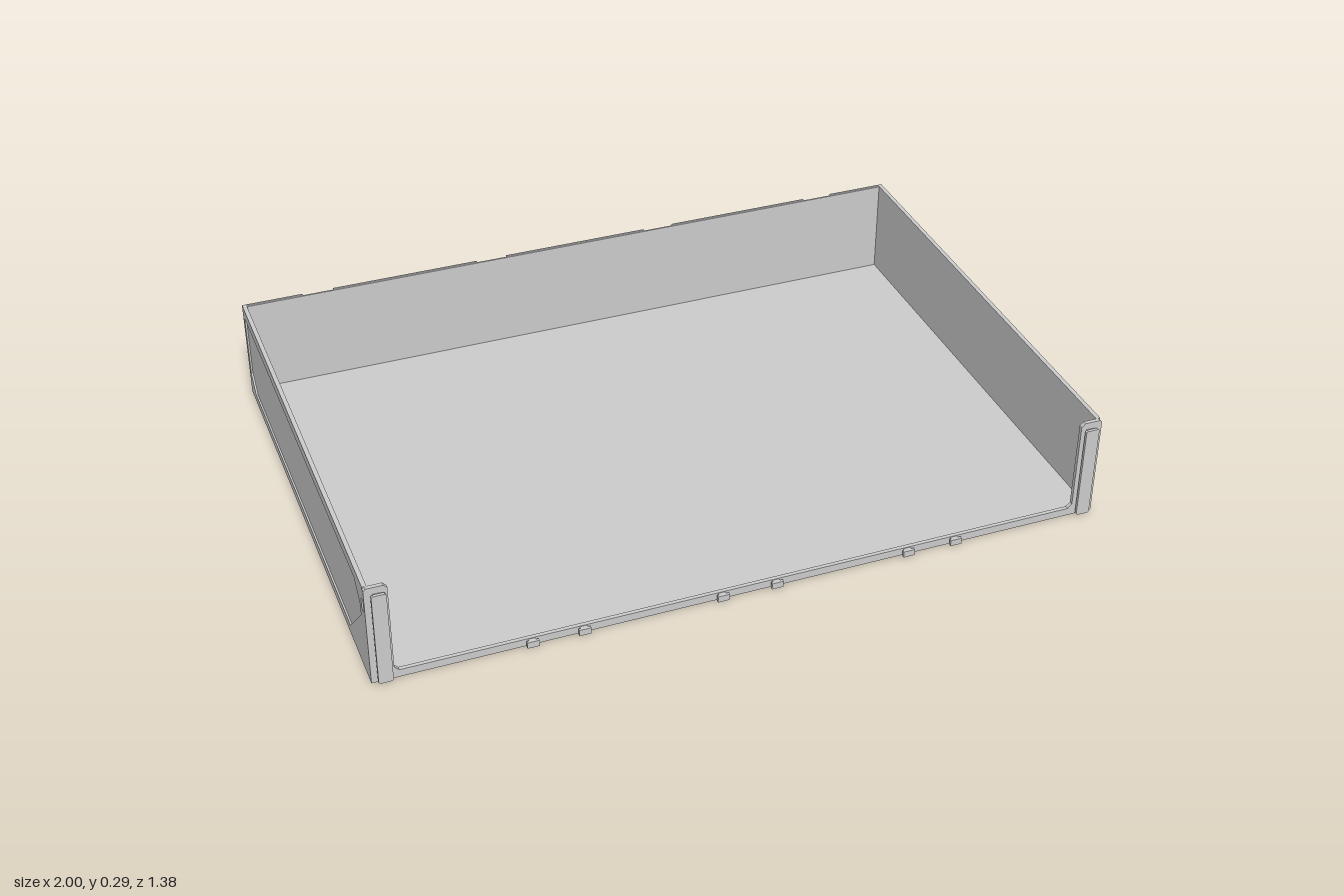
import * as THREE from 'three';

const H = 0.295;      // wall height
const WALL = 0.012;   // side wall thickness
const SKIN = 0.005;   // relief depth of the side panels

const toPoints = (pts) => pts.map(([x, y]) => new THREE.Vector2(x, y));

function makeShape(outline, holes = []) {
  const shape = new THREE.Shape(toPoints(outline));
  for (const h of holes) shape.holes.push(new THREE.Path(toPoints(h)));
  return shape;
}

// Rectangle with cut corners: b at the bottom, t at the top
function chamferRect(x0, x1, y0, y1, b, t = b) {
  return [[x0 + b, y0], [x1 - b, y0], [x1, y0 + b], [x1, y1 - t],
    [x1 - t, y1], [x0 + t, y1], [x0, y1 - t], [x0, y0 + b]];
}

const rect = (x0, x1, y0, y1) => [[x0, y0], [x1, y0], [x1, y1], [x0, y1]];

export function createModel() {
  const model = new THREE.Group();
  const material = new THREE.MeshStandardMaterial({ color: 0xcccccc, flatShading: true });

  function add(name, geometry, x = 0, y = 0, z = 0) {
    const mesh = new THREE.Mesh(geometry, material);
    mesh.name = name;
    mesh.position.set(x, y, z);
    model.add(mesh);
  }
  function box(name, x0, x1, y0, y1, z0, z1) {
    add(name, new THREE.BoxGeometry(x1 - x0, y1 - y0, z1 - z0),
      (x0 + x1) / 2, (y0 + y1) / 2, (z0 + z1) / 2);
  }
  const extrude = (shape, depth) => new THREE.ExtrudeGeometry(shape, { depth, bevelEnabled: false });

  // Floor
  box('floor', -1 + WALL, 1 - WALL, 0, 0.014, -0.675, 0.663);

  // Side walls: an inner sheet plus an outer skin with the panel cut out; outlines are in (z, y)
  const wallOutline = rect(-0.68, 0.663, 0, H);
  const slot = rect(0.643, 0.66, 0.215, 0.25);
  const panel = [[0.625, 0.215], [0.58, 0.262], [-0.665, 0.262], [-0.665, 0.075],
    [-0.62, 0.028], [0.475, 0.028], [0.625, 0.18]];
  const sheet = extrude(makeShape(wallOutline, [slot]), WALL - SKIN).rotateY(-Math.PI / 2);
  const skin = extrude(makeShape(wallOutline, [slot, panel]), SKIN).rotateY(-Math.PI / 2);
  add('leftWallSheet', sheet, 1 - SKIN);
  add('leftWallSkin', skin, 1);
  add('rightWallSheet', sheet, -1 + WALL);
  add('rightWallSkin', skin, -1 + SKIN);

  // Back wall: thin plate and a bevelled rib layer with pockets and open notches
  box('backPlate', -1 + WALL, 1 - WALL, 0, H - 0.002, -0.68, -0.675);
  const notchCentres = [-0.78, -0.26, 0.26, 0.78];
  const outline = [[-1, 0], [1, 0], [1, H]];
  for (const c of [...notchCentres].reverse()) {
    outline.push([c + 0.045, H], [c + 0.045, 0.165], [c - 0.045, 0.165], [c - 0.045, H]);
  }
  outline.push([-1, H]);
  const pockets = [];
  for (const c of [-0.52, 0, 0.52]) pockets.push(chamferRect(c - 0.185, c + 0.185, 0.035, 0.26, 0.008, 0.035));
  for (const c of notchCentres) pockets.push(chamferRect(c - 0.04, c + 0.04, 0.035, 0.13, 0.005, 0.025));
  for (const c of [-0.917, 0.917]) pockets.push(chamferRect(c - 0.052, c + 0.052, 0.035, 0.26, 0.03));
  const ribs = new THREE.ExtrudeGeometry(makeShape(outline, pockets), {
    depth: 0.005, bevelThickness: 0.005, bevelSize: 0.007, bevelSegments: 1,
    bevelOffset: 0 - 0.007,
  });
  add('backRibs', ribs, 0, 0, -0.685);

  // Front rim: a U-shaped flange with small cut corners
  const rim = [[-1, 0], [1, 0], [1, H - 0.006], [0.994, H], [0.95, H], [0.94, H - 0.01],
    [0.94, 0.034], [0.928, 0.022], [-0.928, 0.022], [-0.94, 0.034],
    [-0.94, H - 0.01], [-0.95, H], [-0.994, H], [-1, H - 0.006]];
  add('frontRim', extrude(makeShape(rim), 0.011), 0, 0, 0.663);

  // Upright rails and bottom tabs on the rim, each a stem with a wider head
  for (const s of [-1, 1]) {
    const c = s * 0.966;
    box('railStem', c - 0.011, c + 0.011, 0.008, 0.275, 0.674, 0.682);
    add('railHead', extrude(makeShape(chamferRect(c - 0.019, c + 0.019, 0.006, 0.28, 0.004)), 0.008), 0, 0, 0.682);
    for (const x of [0.075, 0.45, 0.587]) {
      const t = s * x;
      box('tabStem', t - 0.01, t + 0.01, 0.005, 0.02, 0.674, 0.682);
      box('tabHead', t - 0.016, t + 0.016, 0.004, 0.022, 0.682, 0.69);
    }
  }
  return model;
}
